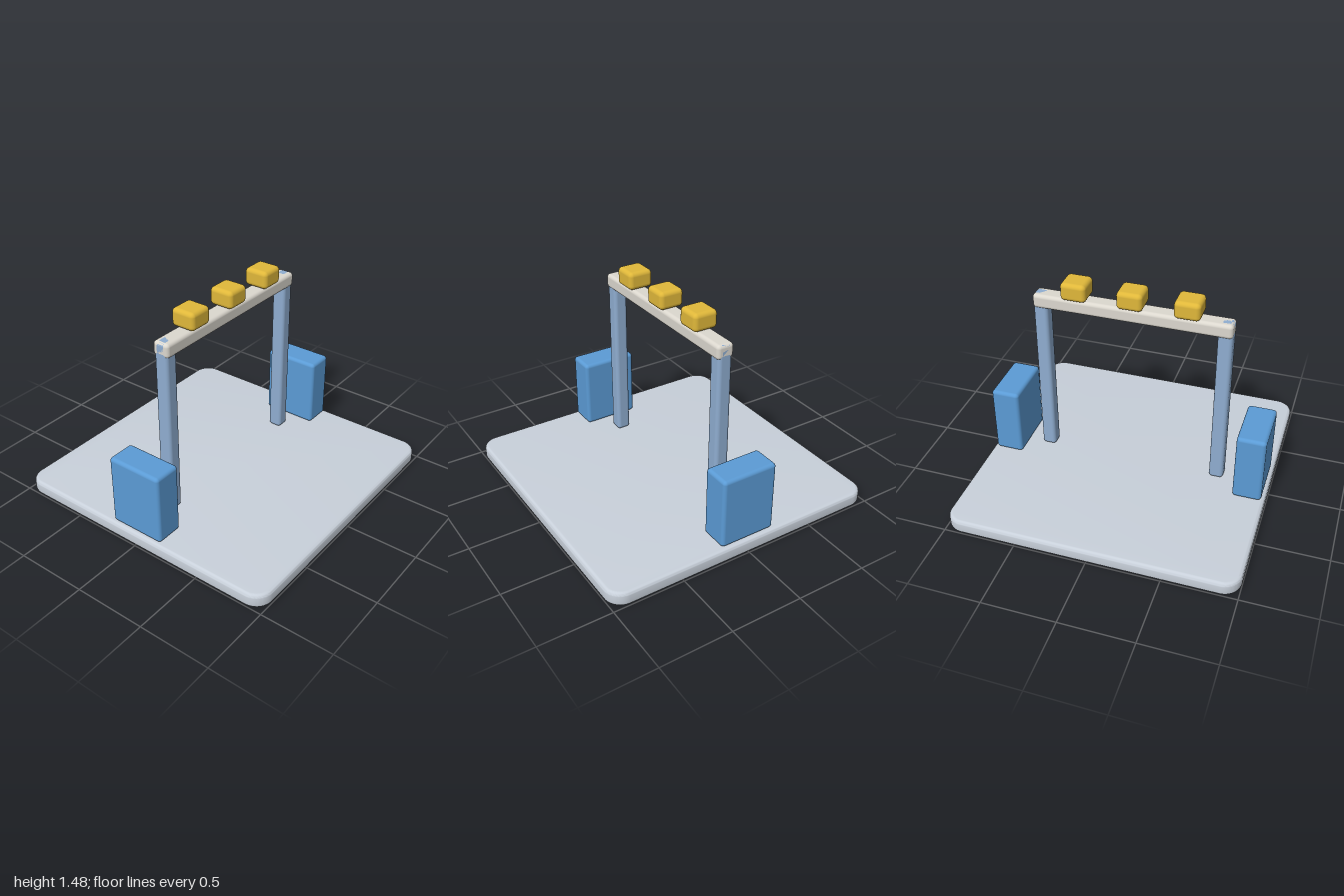
import * as THREE from 'three';
import { RoundedBoxGeometry } from 'three/addons/geometries/RoundedBoxGeometry.js';
import { toCreasedNormals } from 'three/addons/utils/BufferGeometryUtils.js';

const paint = (color) => new THREE.MeshStandardMaterial({ color });

// Flat slab with rounded corners in plan and softly rounded rims
function slabGeometry(size, height, corner, bevel) {
  const h = size / 2 - bevel, r = corner - bevel;
  const shape = new THREE.Shape();
  shape.moveTo(h, -h + r);
  shape.absarc(h - r, h - r, r, 0, Math.PI / 2);
  shape.absarc(-h + r, h - r, r, Math.PI / 2, Math.PI);
  shape.absarc(-h + r, -h + r, r, Math.PI, Math.PI * 1.5);
  shape.absarc(h - r, -h + r, r, Math.PI * 1.5, Math.PI * 2);
  const geometry = new THREE.ExtrudeGeometry(shape, {
    depth: height - 2 * bevel, bevelThickness: bevel, bevelSize: bevel,
    bevelSegments: 5, curveSegments: 10,
  });
  geometry.rotateX(-Math.PI / 2).translate(0, bevel, 0);
  return toCreasedNormals(geometry, 0.7);
}

export function createModel() {
  const group = new THREE.Group();
  const blue = paint(0x5b9bd5), steel = paint(0x8fadd0);
  const cream = paint(0xdcd8cf), yellow = paint(0xe0b83a);

  // Rounded box standing on the height y
  function block(name, material, [w, h, d], x, y, radius) {
    const mesh = new THREE.Mesh(new RoundedBoxGeometry(w, h, d, 4, radius), material);
    mesh.position.set(x, y + h / 2, 0);
    mesh.name = name;
    group.add(mesh);
  }

  // Base plate
  const base = new THREE.Mesh(slabGeometry(2, 0.1, 0.12, 0.025), paint(0xc8d0da));
  base.name = 'basePlate';
  group.add(base);

  // Crossbar on the two posts
  block('crossbar', cream, [1.35, 0.1, 0.12], 0, 1.25, 0.025);

  // Posts and side blocks, mirrored
  for (const [side, s] of [['left', 1], ['right', -1]]) {
    block(side + 'Post', steel, [0.1, 1.25, 0.1], s * 0.625, 0.1, 0.025);
    block(side + 'Block', blue, [0.2, 0.5, 0.4], s * 0.875, 0.1, 0.025);
  }

  // Row of lamps along the crossbar
  [['right', -0.38], ['middle', 0], ['left', 0.38]].forEach(([side, x]) =>
    block(side + 'Lamp', yellow, [0.175, 0.125, 0.175], x, 1.353, 0.03));

  return group;
}
